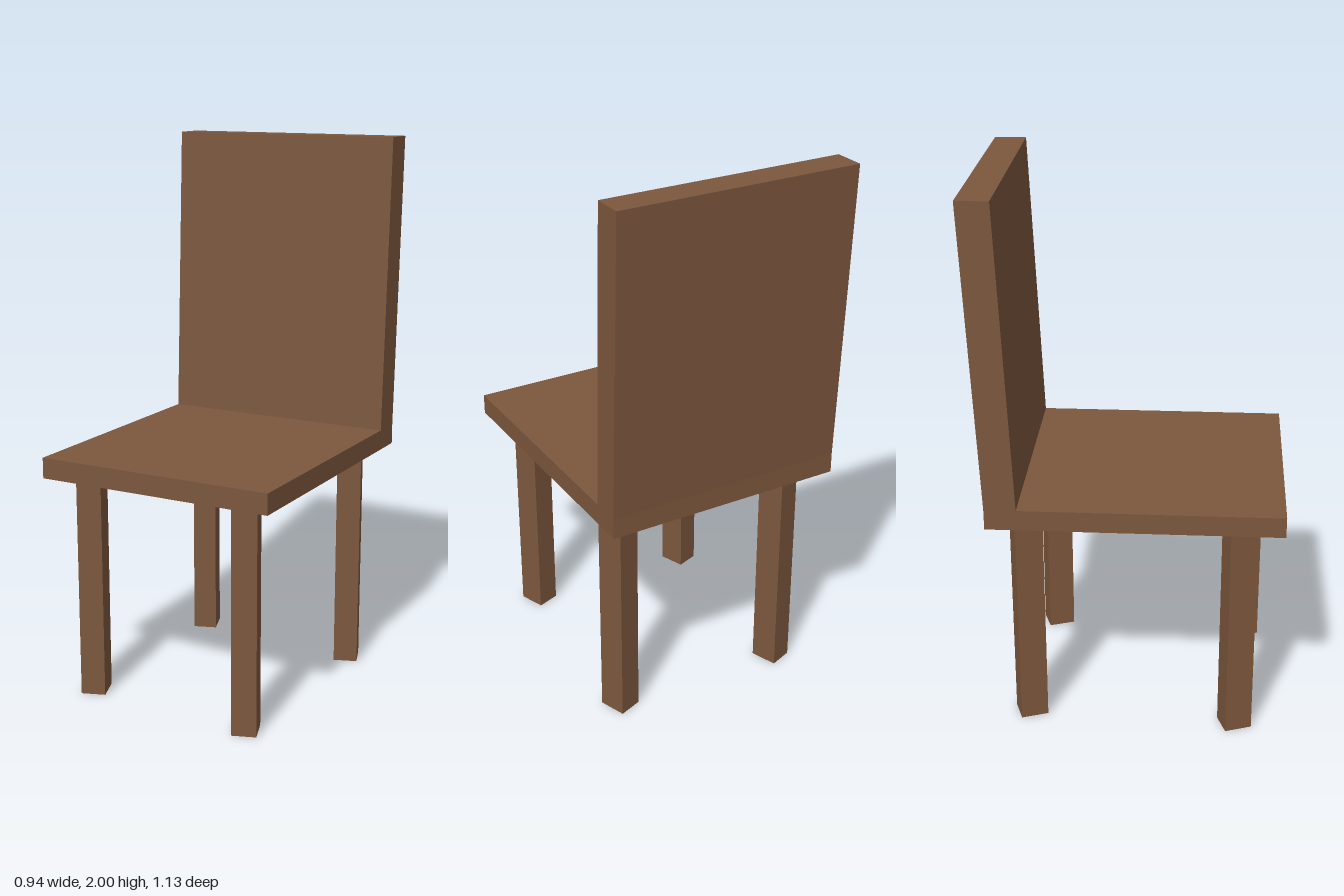
import * as THREE from 'three';

export function createModel() {
  const chair = new THREE.Group();
  chair.name = 'chair';
  const wood = new THREE.MeshStandardMaterial({ color: 0x7c573d, flatShading: true });

  // Seat and leaning back: one side profile (z, y) extruded across the width
  const width = 0.889;
  const profile = new THREE.Shape([
    [-0.498, 0.84], [0.542, 0.84], [0.542, 0.915], [-0.386, 0.915],
    [-0.431, 2], [-0.545, 2], [-0.498, 0.915],
  ].map(([z, y]) => new THREE.Vector2(z, y)));
  const bodyGeometry = new THREE.ExtrudeGeometry(profile, { depth: width, bevelEnabled: false });
  bodyGeometry.translate(0, 0, -width / 2).rotateY(-Math.PI / 2);
  const body = new THREE.Mesh(bodyGeometry, wood);
  body.name = 'seatAndBack';
  body.rotation.y = 0.052; // slightly askew on its legs
  chair.add(body);

  // Four legs, each twisted about its own axis
  const legHeight = 0.84;
  const legGeometry = new THREE.BoxGeometry(0.089, legHeight, 0.101);
  for (const [end, z] of [['front', 0.405], ['back', -0.356]]) {
    for (const [side, x] of [['Left', 0.324], ['Right', -0.324]]) {
      const leg = new THREE.Mesh(legGeometry, wood);
      leg.name = `${end}${side}Leg`;
      leg.position.set(x, legHeight / 2, z);
      leg.rotation.y = 0.4;
      chair.add(leg);
    }
  }
  return chair;
}
